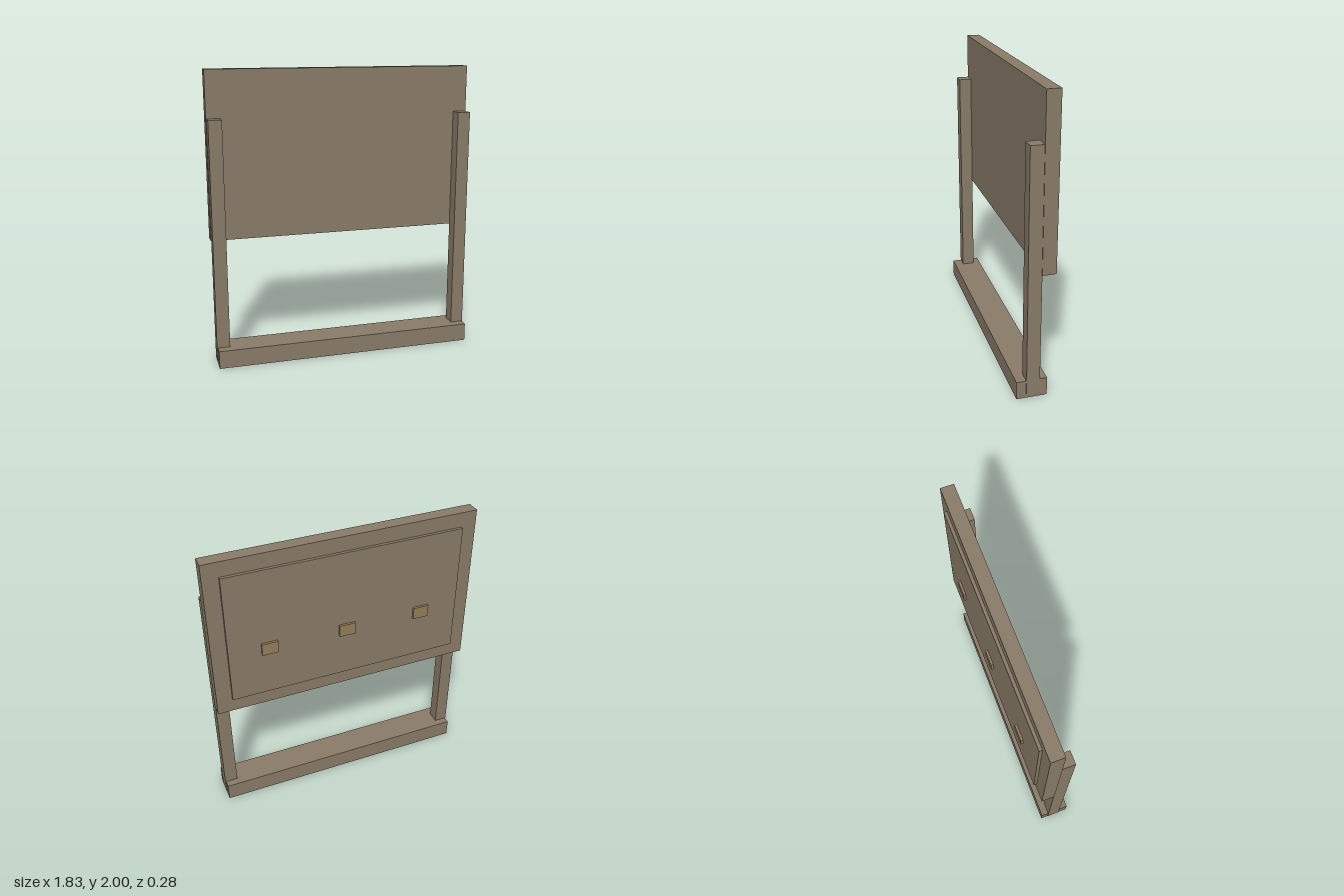
import * as THREE from 'three';

const wood = new THREE.MeshStandardMaterial({ color: 0x8b7d69 });
wood.name = 'weathered wood';
const tan = new THREE.MeshStandardMaterial({ color: 0x97805c });
tan.name = 'tan wood';

// Box given by its [min, max] range on each axis
function slab(name, material, [x0, x1], [y0, y1], [z0, z1]) {
  const mesh = new THREE.Mesh(new THREE.BoxGeometry(x1 - x0, y1 - y0, z1 - z0), material);
  mesh.position.set((x0 + x1) / 2, (y0 + y1) / 2, (z0 + z1) / 2);
  mesh.name = name;
  return mesh;
}

export function createModel() {
  const model = new THREE.Group();
  model.name = 'boardStand';

  // Base beam, with the posts standing slightly proud of its ends
  model.add(slab('baseBeam', wood, [-0.908, 0.905], [0, 0.125], [-0.064, 0.14]));
  model.add(slab('rightPost', wood, [-0.914, -0.824], [0.03, 1.683], [-0.014, 0.075]));
  model.add(slab('leftPost', wood, [0.821, 0.911], [0.03, 1.683], [-0.014, 0.075]));

  // Board behind the posts, with a thin raised sheet on its back
  model.add(slab('board', wood, [-0.918, 0.916], [0.863, 2], [-0.103, -0.012]));
  model.add(slab('backSheet', wood, [-0.814, 0.811], [0.968, 1.897], [-0.124, -0.103]));

  // Row of three small blocks on the sheet
  for (const x of [-0.54, 0, 0.537]) {
    model.add(slab('backBlock', tan, [x - 0.055, x + 0.055], [1.281, 1.366], [-0.14, -0.122]));
  }
  return model;
}
